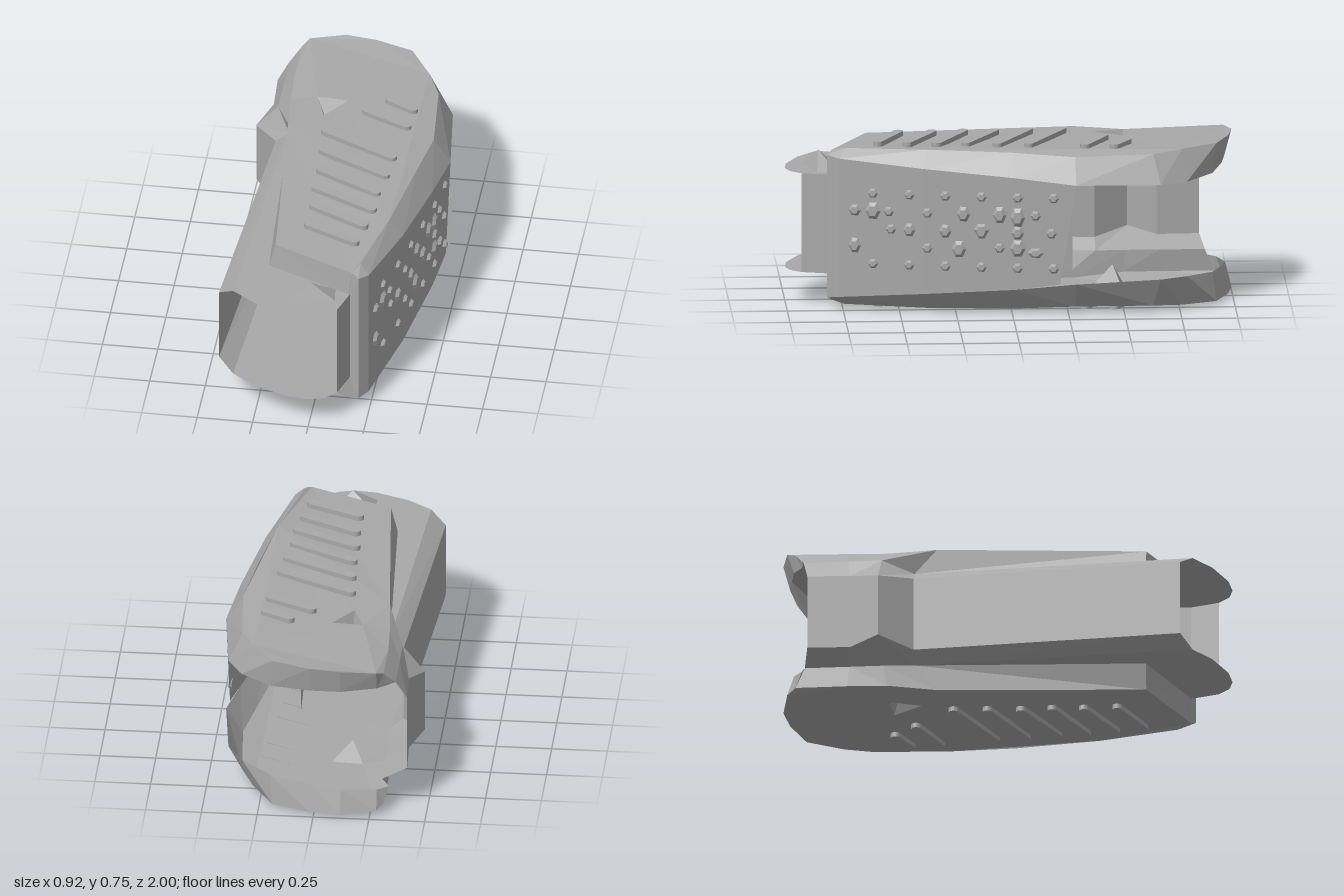
import * as THREE from 'three';

const H = 0.75; // full height; upper and lower halves mirror about H / 2
const grey = new THREE.MeshStandardMaterial({ color: 0xa8a8a8, side: THREE.DoubleSide, flatShading: true });
grey.name = 'grey';

const flip = ([x, y, z]) => [x, H - y, z];

function meshOf(name, triangles) {
  const g = new THREE.BufferGeometry();
  g.setAttribute('position', new THREE.Float32BufferAttribute(triangles.flat(), 3));
  g.computeVertexNormals();
  const m = new THREE.Mesh(g, grey);
  m.name = name;
  return m;
}

// quads between two rails of equal length
function strip(a, b) {
  const t = [];
  for (let i = 0; i < a.length - 1; i++) t.push(a[i], b[i], b[i + 1], a[i], b[i + 1], a[i + 1]);
  return t;
}

// filled outline with optional hole; points are [x, y, z], triangulated in plan
function sheet(outline, hole = []) {
  const plan = (p) => new THREE.Vector2(p[0], -p[2]);
  const pts = [...outline, ...hole];
  const faces = THREE.ShapeUtils.triangulateShape(outline.map(plan), hole.length ? [hole.map(plan)] : []);
  return faces.flatMap((f) => f.map((i) => pts[i]));
}

// outer rim, front to rear: lip x, z, height, deck x, z, height
const rim = [
  [0.20, 0.82, 0.70, 0.17, 0.80, 0.715],
  [0.24, 0.77, 0.69, 0.20, 0.74, 0.73],
  [0.34, 0.40, 0.66, 0.28, 0.38, 0.735],
  [0.415, 0.0, 0.63, 0.34, 0.0, 0.73],
  [0.455, -0.28, 0.60, 0.38, -0.28, 0.715],
  [0.41, -0.66, 0.59, 0.35, -0.63, 0.72],
  [0.34, -0.78, 0.59, 0.29, -0.76, 0.73],
  [0.20, -0.90, 0.60, 0.19, -0.92, 0.735],
  [0.02, -0.95, 0.61, 0.02, -0.98, 0.735],
  [-0.12, -0.97, 0.62, -0.12, -1.0, 0.735],
  [-0.28, -0.94, 0.63, -0.28, -0.97, 0.72],
  [-0.33, -0.90, 0.63, -0.31, -0.93, 0.70],
];
const lip = rim.map(([x, z, y]) => [x, y, z]);
const deckRim = rim.map((r) => [r[3], r[5], r[4]]);
const deckLeft = [[-0.31, 0.70, -0.70], [-0.30, 0.70, -0.52], [-0.28, 0.72, -0.30], [-0.20, 0.715, 0.63]];
const pit = [[-0.18, 0.725, -0.52], [-0.13, 0.725, -0.38], [-0.04, 0.725, -0.51]];

// inner sleeve: rounded front tongue, then back along the inner side
const tongue = [
  [-0.36, 0.6, 0.85], [-0.25, 0.6, 0.93], [-0.10, 0.6, 0.99], [0.0, 0.6, 1.0], [0.07, 0.6, 0.98],
  [0.12, 0.6, 0.93], [0.16, 0.6, 0.80], [0.12, 0.6, -0.28],
];
const sleeveLeft = [[-0.29, 0.6, -0.40], [-0.36, 0.6, 0.85]];
const wallLeft = [[-0.35, 0.55, -0.40], [-0.43, 0.55, 0.80]];
const flare = [[-0.41, 0.55, -0.87], [-0.40, 0.55, -0.68], [-0.46, 0.52, -0.55], [-0.35, 0.55, -0.40]];

// raised grip bars on the decks: x1, z1, x2, z2
const bars = [
  [-0.09, 0.48, 0.17, 0.60], [-0.09, 0.33, 0.19, 0.47], [-0.10, 0.19, 0.21, 0.34], [-0.10, 0.05, 0.21, 0.21],
  [-0.11, -0.10, 0.23, 0.07], [-0.12, -0.25, 0.24, -0.07], [0.04, -0.43, 0.27, -0.32], [0.13, -0.53, 0.28, -0.45],
];

function gripBar([x1, z1, x2, z2], y) {
  const len = Math.hypot(x2 - x1, z2 - z1), r = 0.022;
  const s = new THREE.Shape();
  s.absarc(len / 2 - r, 0, r, -Math.PI / 2, Math.PI / 2);
  s.absarc(-len / 2 + r, 0, r, Math.PI / 2, Math.PI * 1.5);
  const g = new THREE.ExtrudeGeometry(s, { depth: 0.022, bevelEnabled: false, curveSegments: 5 });
  g.rotateX(-Math.PI / 2).rotateY(-Math.atan2(z2 - z1, x2 - x1));
  const m = new THREE.Mesh(g, grey);
  m.name = 'gripBar';
  m.position.set((x1 + x2) / 2, y, (z1 + z2) / 2);
  return m;
}

// ledge: x and height of the step between the rear flare and the deck
function buildHalf(label, map, [ledgeX, ledgeY]) {
  const half = new THREE.Group();
  half.name = label + 'Half';
  const add = (name, tris) => half.add(meshOf(name, tris.map(map)));
  // outer deck with its small pit and the rounded shoulder
  add('deck', sheet([...deckRim, ...deckLeft], pit));
  add('deckPit', strip([...pit, pit[0]], Array(4).fill([-0.13, 0.63, -0.47])));
  add('shoulder', strip(lip, deckRim));
  // skirts that join the deck to the sleeve
  add('frontSkirt', strip([deckLeft[3], deckRim[0], lip[0]], [[-0.23, 0.6, 0.63], [0.15, 0.6, 0.8], [0.16, 0.6, 0.8]]));
  add('sideSkirt', strip([deckLeft[3], deckLeft[2]], [[-0.23, 0.6, 0.63], sleeveLeft[0]]));
  // rear flare, stepped up to the deck
  const ledge = [...[-0.89, -0.69, -0.54].map((z) => [ledgeX, ledgeY, z]), sleeveLeft[0]];
  add('rearLedge', strip(flare, ledge));
  add('rearSkirt', strip(ledge, [deckRim[11], ...deckLeft.slice(0, 3)]));
  add('rearCorner', [deckRim[11], lip[11], ledge[0]]);
  // inner sleeve plate and its bevel
  add('sleevePlate', sheet([...tongue, sleeveLeft[0]]));
  add('sleeveBevel', strip(sleeveLeft, wallLeft));
  return half;
}

// faceted stud sitting on the curved side wall
function stud(z, y, wide, tall) {
  const i = Math.max(1, rim.findIndex((r) => r[1] <= z));
  const [a, b] = [rim[i - 1], rim[i]];
  const t = (z - a[1]) / (b[1] - a[1]);
  const m = new THREE.Mesh(new THREE.CylinderGeometry(0.014, 0.028, 0.02, 6), grey);
  m.name = 'sideStud';
  m.position.set(a[0] + (b[0] - a[0]) * t + 0.004, y, z);
  const up = new THREE.Vector3(0, 1, 0);
  const n = new THREE.Vector3(a[1] - b[1], 0, b[0] - a[0]).normalize();
  m.quaternion.setFromRotationMatrix(new THREE.Matrix4().makeBasis(up, n, up.clone().cross(n)));
  m.scale.set(tall, 1, wide);
  return m;
}

export function createModel() {
  const model = new THREE.Group();
  model.name = 'openSleeve';
  model.add(buildHalf('upper', (p) => p, [-0.36, 0.64]), buildHalf('lower', flip, [-0.30, 0.6]));

  // upright walls between the halves
  const upright = (name, rail, foot = rail.map(flip)) => model.add(meshOf(name, strip(rail, foot)));
  // the outer wall ends on a slant
  upright('outerWall', lip.slice(0, 5), [...lip.slice(0, 4).map(flip), [0.444, 0.15, -0.21]]);
  upright('innerWall', tongue.slice(5));
  upright('frontJamb', [tongue[6], lip[0]]);
  upright('leftWall', wallLeft);
  upright('rearLeftWall', flare);

  // faceted knob on the upper tongue
  const knob = [[-0.12, 0.6, 0.78], [0.09, 0.6, 0.77], [0.10, 0.6, 0.86], [-0.11, 0.6, 0.92], [-0.12, 0.6, 0.78]];
  model.add(meshOf('tongueKnob', strip(knob, Array(5).fill([-0.01, 0.68, 0.85]))));

  for (const b of bars) model.add(gripBar(b, H - 0.022), gripBar(b, 0));

  // side studs: z, y, width, height factors
  const studs = [[0.70, 0.46, 1.2, 1.2], [0.70, 0.30, 1.2, 1.6], [0.62, 0.46, 1.5, 1.8], [0.55, 0.46, 1, 1],
    [0.54, 0.38, 1, 1], [0.38, 0.46, 1, 1], [0.38, 0.30, 1, 1], [0.24, 0.30, 1.4, 1.8], [0.22, 0.46, 1.3, 1.6],
    [0.14, 0.39, 1.5, 1.3], [0.06, 0.46, 1.3, 1.8], [0.06, 0.31, 1, 1], [-0.02, 0.45, 1.4, 2], [-0.02, 0.31, 1.5, 1.8],
    [-0.10, 0.46, 1, 1], [-0.10, 0.29, 1.5, 1], [-0.17, 0.38, 1, 1]];
  for (let i = 0; i < 6; i++) {
    const z = 0.62 - i * 0.16;
    studs.push([z, 0.54, 1, 1], [z, 0.22, 1, 1]);
    if (i < 4) studs.push([z - 0.16, 0.38, 1.2, 1.4]);
  }
  for (const s of studs) model.add(stud(...s));
  return model;
}
